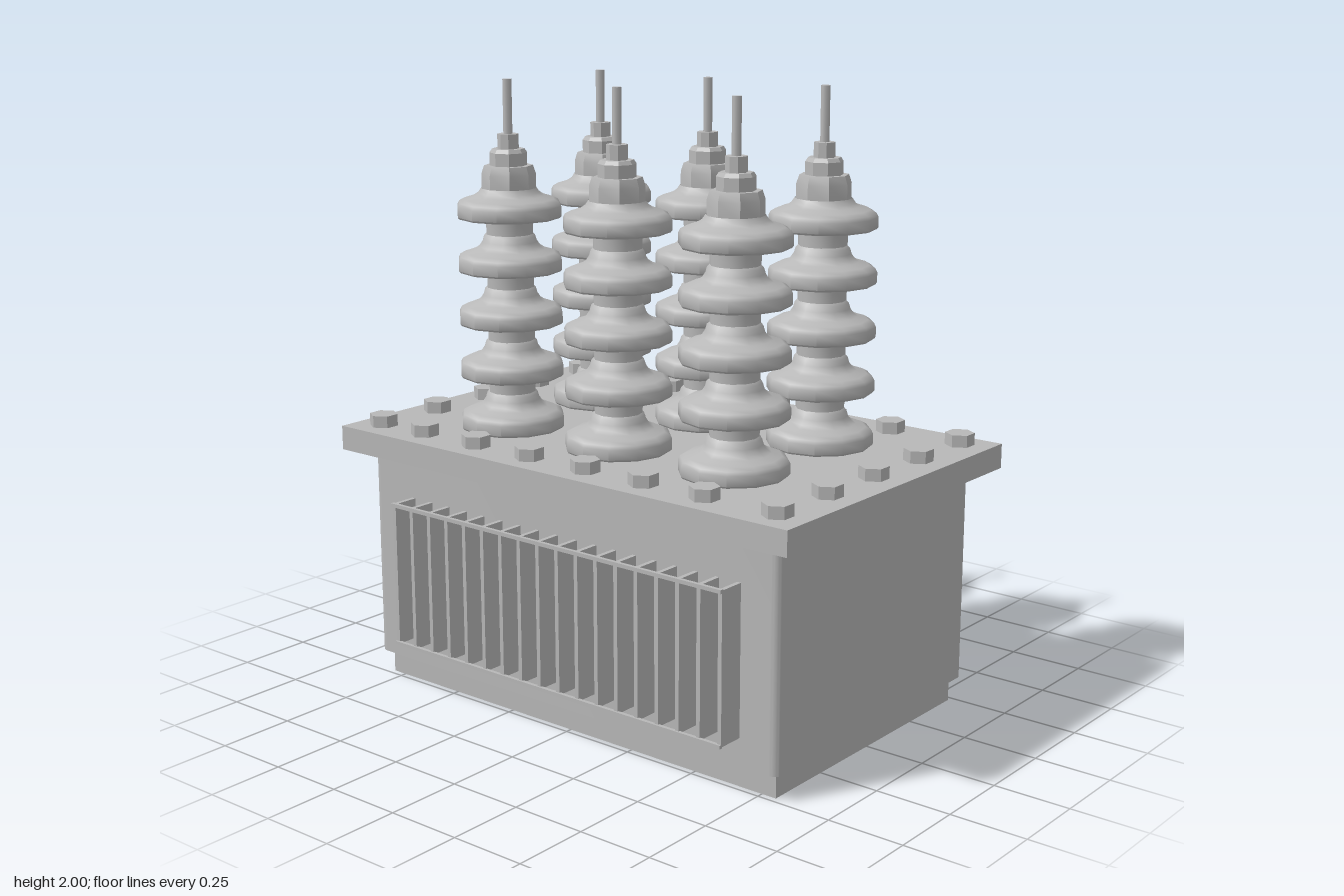
import * as THREE from 'three';
import { toCreasedNormals } from 'three/addons/utils/BufferGeometryUtils.js';

export function createModel() {
  const model = new THREE.Group();
  model.name = 'transformer';
  const grey = new THREE.MeshStandardMaterial({ color: 0xb8b8b8, side: THREE.DoubleSide });
  grey.name = 'grey metal';

  const add = (name, geometry, x = 0, y = 0, z = 0, parent = model) => {
    const mesh = new THREE.Mesh(geometry, grey);
    mesh.name = name;
    mesh.position.set(x, y, z);
    parent.add(mesh);
    return mesh;
  };
  // Box given by its bottom height and top height
  const slab = (name, w, y0, y1, d, x = 0, z = 0, parent = model) =>
    add(name, new THREE.BoxGeometry(w, y1 - y0, d), x, (y0 + y1) / 2, z, parent);

  // Hollow base skirt, open underneath
  const skirtWall = 0.004;
  for (const s of [-1, 1]) {
    slab('baseSkirt', 1.6, 0, 0.085, skirtWall, 0, s * (0.48 - skirtWall / 2));
    slab('baseSkirt', skirtWall, 0, 0.085, 0.96, s * (0.8 - skirtWall / 2), 0);
  }

  // Tank with rounded vertical corners
  const hx = 0.829, hz = 0.515, r = 0.03;
  const outline = new THREE.Shape();
  outline.absarc(hx - r, hz - r, r, 0, Math.PI / 2);
  outline.absarc(-hx + r, hz - r, r, Math.PI / 2, Math.PI);
  outline.absarc(-hx + r, -hz + r, r, Math.PI, Math.PI * 1.5);
  outline.absarc(hx - r, -hz + r, r, Math.PI * 1.5, Math.PI * 2);
  const tank = new THREE.ExtrudeGeometry(outline, { depth: 0.705, bevelEnabled: false, curveSegments: 5 });
  tank.rotateX(-Math.PI / 2);
  add('tank', toCreasedNormals(tank, 0.7), 0, 0.083, 0);

  // Lid
  slab('lid', 1.804, 0.786, 0.866, 1.17);

  // Hexagonal bolts around the lid
  const boltGeometry = toCreasedNormals(new THREE.CylinderGeometry(0.047, 0.047, 0.04, 6), 0.5);
  const bolt = (x, z) => add('bolt', boltGeometry, x, 0.885, z);
  for (const z of [-0.495, 0.49]) {
    for (const x of [-0.803, -0.61, -0.38, -0.15, 0.08, 0.309, 0.539, 0.8]) bolt(x, z);
  }
  for (const x of [-0.803, 0.8]) for (const z of [-0.25, 0, 0.243]) bolt(x, z);

  // Cooling radiators, front and back: upright fins tied by two rails
  const finCount = 18, left = -0.653, right = 0.692, thick = 0.014;
  for (const s of [-1, 1]) {
    const radiator = new THREE.Group();
    radiator.name = s > 0 ? 'frontRadiator' : 'backRadiator';
    model.add(radiator);
    for (let i = 0; i < finCount; i++) {
      const x = left + thick / 2 + (i * (right - left - thick)) / (finCount - 1);
      slab('fin', thick, 0.172, 0.65, 0.095, x, s * 0.556, radiator);
    }
    for (const y of [0.168, 0.641]) {
      slab('rail', right - left, y, y + 0.012, 0.012, (left + right) / 2, s * 0.604, radiator);
    }
  }

  // Bushing profile: five sheds, each flat below and curving up into a neck
  const shed = [[0.078, 0], [0.166, 0], [0.171, 0.006], [0.171, 0.038], [0.165, 0.05], [0.147, 0.06],
    [0.115, 0.07], [0.1, 0.08], [0.09, 0.095], [0.085, 0.112], [0.077, 0.12]];
  const profile = [];
  for (let i = 0; i < 5; i++) {
    const y0 = 0.867 + i * 0.1733;
    const points = i < 4 ? shed : shed.slice(0, 9);
    for (const [radius, y] of points) profile.push(new THREE.Vector2(radius, y0 + y));
  }
  const insulatorGeometry = toCreasedNormals(new THREE.LatheGeometry(profile, 12), 0.75);
  const ring = (points) => toCreasedNormals(
    new THREE.LatheGeometry(points.map(([a, b]) => new THREE.Vector2(a, b)), 8), 0.5);
  const collarGeometry = ring([[0.087, 1.645], [0.087, 1.7], [0.078, 1.727], [0.06, 1.727],
    [0.06, 1.768], [0.052, 1.78], [0, 1.78]]);
  const nutGeometry = toCreasedNormals(new THREE.CylinderGeometry(0.034, 0.034, 0.05, 8), 0.5);
  const rodGeometry = new THREE.CylinderGeometry(0.0145, 0.0145, 0.18, 8);

  // Two rows of three bushings
  for (const x of [-0.465, -0.009, 0.447]) {
    for (const z of [-0.222, 0.228]) {
      const bushing = new THREE.Group();
      bushing.name = 'bushing';
      bushing.position.set(x, 0, z);
      model.add(bushing);
      add('insulator', insulatorGeometry, 0, 0, 0, bushing);
      add('collar', collarGeometry, 0, 0, 0, bushing);
      add('terminalNut', nutGeometry, 0, 1.802, 0, bushing);
      add('terminalRod', rodGeometry, 0, 1.91, 0, bushing);
    }
  }
  return model;
}
